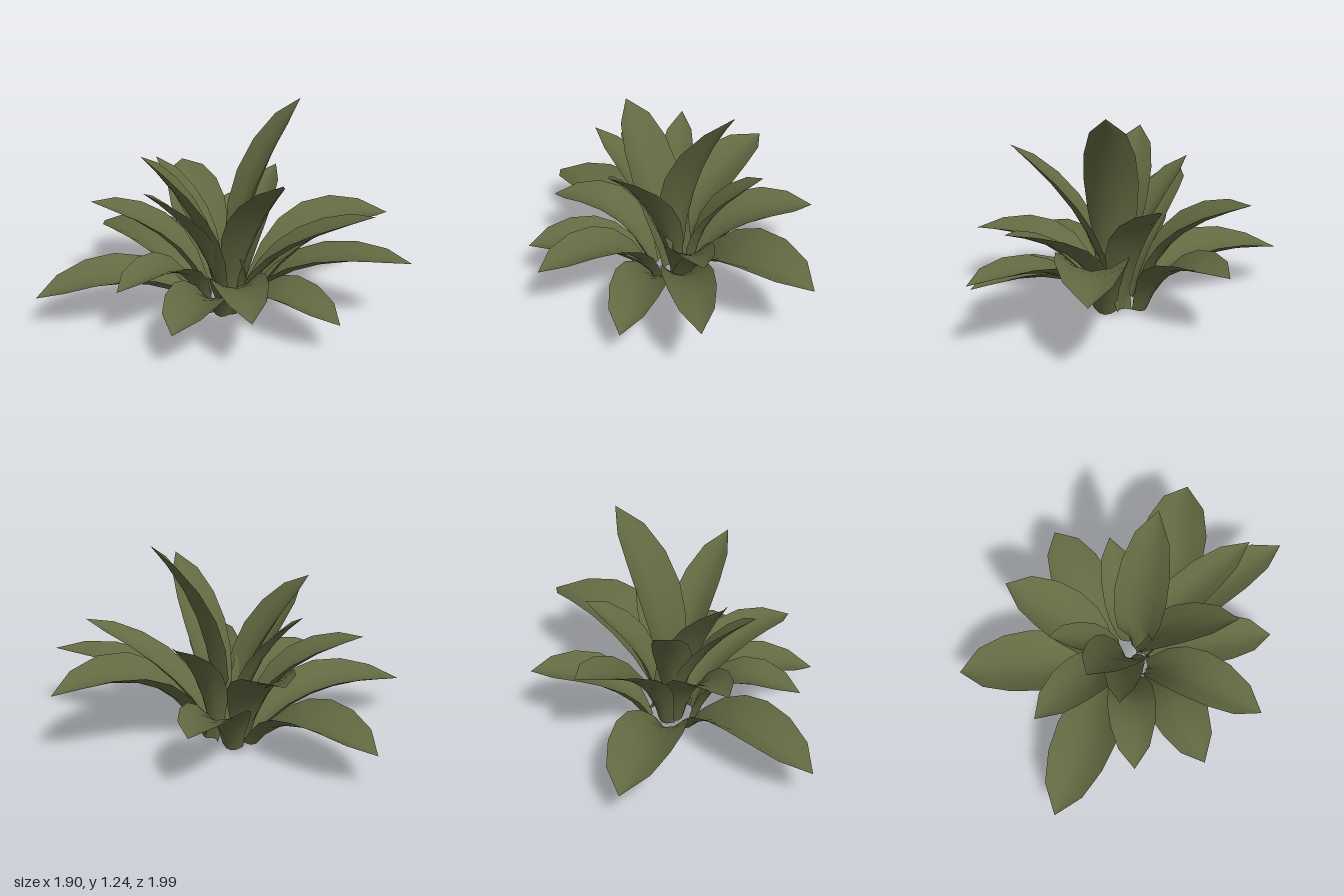
import * as THREE from 'three';

const leafGreen = new THREE.MeshStandardMaterial({ color: 0x636a42, side: THREE.DoubleSide });
leafGreen.name = 'leafGreen';

// Leaf outline as [position along leaf, relative width]
const OUTLINE = [[0, 0.36], [0.12, 0.47], [0.27, 0.72], [0.42, 0.92], [0.57, 1], [0.73, 0.92], [0.88, 0.64], [1, 0]];
const ACROSS = [-1, -0.5, 0, 0.5, 1];

// One arching, gutter-shaped leaf: tip, height and reach of its midpoint, full width, sideways bow
function makeLeaf(ring, [x, y, z], midY, midReach, width, bow) {
  const heading = new THREE.Vector3(x - ring.x, 0, z - ring.z);
  const length = heading.length();
  heading.normalize();
  const side = new THREE.Vector3(-heading.z, 0, heading.x);
  const at = (r, h, s) => new THREE.Vector3(ring.x, h, ring.z).addScaledVector(heading, r).addScaledVector(side, s);
  // Control point chosen so the rib passes through the given midpoint
  const rib = new THREE.QuadraticBezierCurve3(
    at(ring.radius, ring.y, bow),
    at(2 * midReach * length - (ring.radius + length) / 2, 2 * midY - (ring.y + y) / 2, 1.5 * bow),
    at(length, y, 0)
  );

  const positions = [], indices = [], n = ACROSS.length;
  OUTLINE.forEach(([t, w], row) => {
    const p = rib.getPoint(t);
    const up = side.clone().cross(rib.getTangent(t)).normalize();
    if (up.y < 0) up.negate();
    const half = w * width / 2;
    const cup = half * (0.7 - 0.45 * t);
    ACROSS.forEach((u, col) => {
      const v = p.clone().addScaledVector(side, u * half).addScaledVector(up, cup * (u * u - 0.25));
      positions.push(v.x, Math.max(v.y, 0), v.z);
      if (row && col) {
        const d = row * n + col, c = d - 1, b = d - n, a = b - 1;
        indices.push(a, b, c);
        if (w > 0) indices.push(b, d, c);
      }
    });
  });
  const geometry = new THREE.BufferGeometry();
  geometry.setAttribute('position', new THREE.Float32BufferAttribute(positions, 3));
  geometry.setIndex(indices);
  geometry.computeVertexNormals();
  return new THREE.Mesh(geometry, leafGreen);
}

// Rings of leaves: base circle, then tip, midpoint height, midpoint reach, width, bow
const RINGS = [
  {
    name: 'outerLeaf', x: 0.01, z: 0, radius: 0.14, y: 0.015,
    leaves: [
      [[-0.04, 0.24, -1.0], 0.275, 0.49, 0.38, -0.03],
      [[0.74, 0.42, -0.36], 0.34, 0.47, 0.34, -0.035],
      [[0.95, 0.46, 0.48], 0.45, 0.48, 0.4, 0.075],
      [[0.5, 0.46, 0.99], 0.38, 0.48, 0.28, 0],
      [[0.02, 0.23, 0.89], 0.265, 0.49, 0.31, 0.025],
      [[-0.51, 0.4, 0.74], 0.37, 0.47, 0.31, -0.01],
      [[-0.74, 0.28, 0.39], 0.295, 0.49, 0.34, -0.045],
      [[-0.76, 0.38, -0.02], 0.38, 0.47, 0.28, -0.01],
      [[-0.95, 0.23, -0.5], 0.28, 0.49, 0.36, 0],
    ],
  },
  {
    name: 'middleLeaf', x: 0.03, z: 0.01, radius: 0.1, y: 0.04,
    leaves: [
      [[0.33, 0.66, -0.66], 0.46, 0.43, 0.34, -0.045],
      [[0.52, 0.75, -0.04], 0.45, 0.39, 0.25, 0.035],
      [[0.44, 0.69, 0.77], 0.43, 0.43, 0.25, 0],
      [[-0.49, 0.66, -0.55], 0.46, 0.43, 0.28, -0.01],
    ],
  },
  {
    name: 'innerLeaf', x: 0.05, z: 0.02, radius: 0.05, y: 0.06,
    leaves: [
      [[0.42, 1.25, 0.22], 0.71, 0.26, 0.31, 0.04],
      [[-0.14, 1.0, 0.6], 0.58, 0.38, 0.26, 0],
      [[-0.37, 0.99, -0.24], 0.57, 0.38, 0.32, -0.045],
      [[-0.09, 0.86, -0.43], 0.5, 0.37, 0.22, -0.04],
      [[-0.5, 0.86, -0.08], 0.5, 0.4, 0.23, 0],
    ],
  },
];

export function createModel() {
  const plant = new THREE.Group();
  plant.name = 'rosettePlant';
  for (const ring of RINGS) {
    ring.leaves.forEach((leaf, i) => {
      const mesh = makeLeaf(ring, ...leaf);
      mesh.name = ring.name + (i + 1);
      plant.add(mesh);
    });
  }
  return plant;
}
